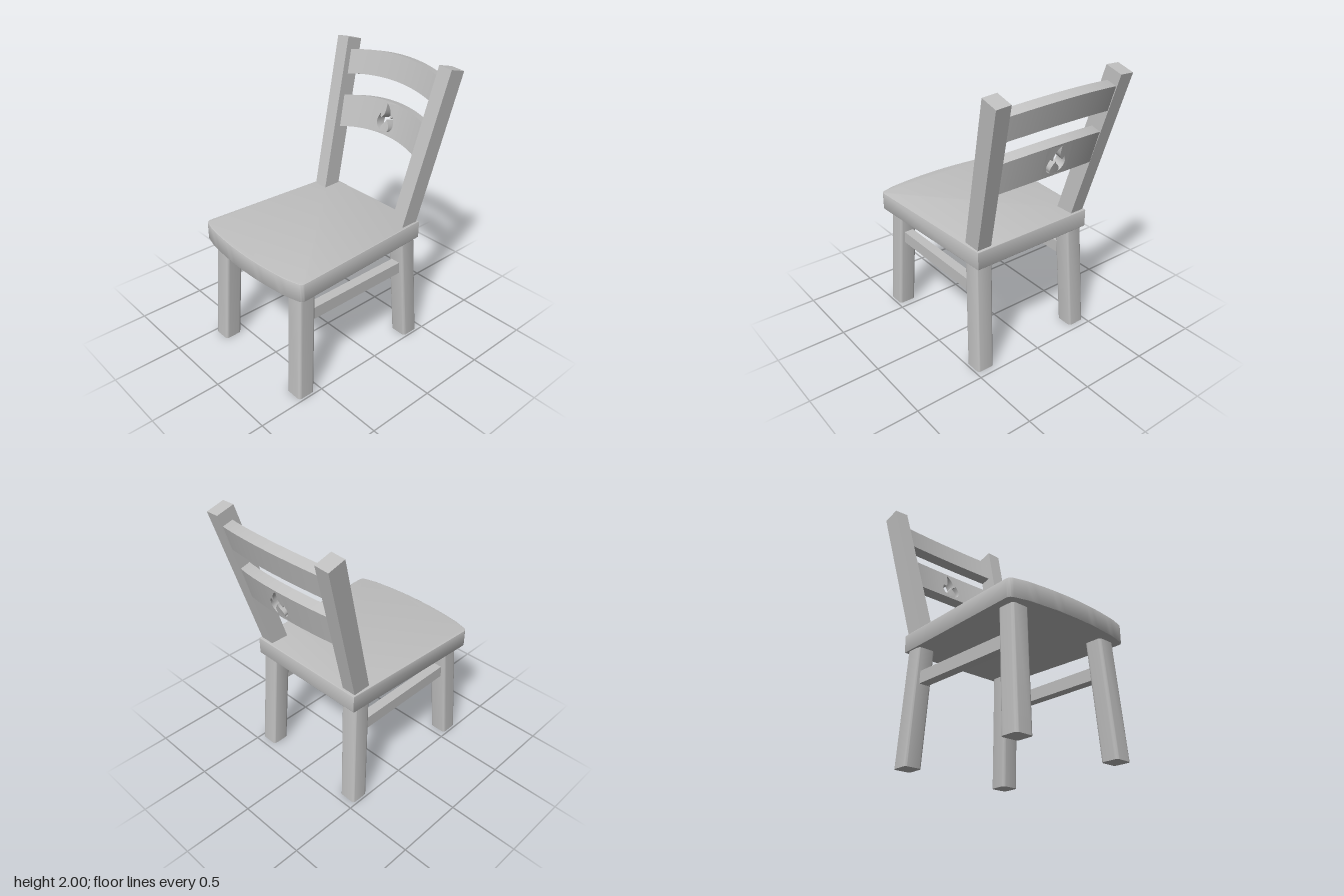
import * as THREE from 'three';
import { toCreasedNormals } from 'three/addons/utils/BufferGeometryUtils.js';

const LEAN = 0.264; // backward lean of the backrest

export function createModel() {
  const chair = new THREE.Group();
  chair.name = 'chair';
  const wood = new THREE.MeshStandardMaterial({ color: 0xc0c0c0 });
  wood.name = 'plain grey wood';

  const add = (name, geometry, parent = chair) => {
    const mesh = new THREE.Mesh(geometry, wood);
    mesh.name = name;
    parent.add(mesh);
    return mesh;
  };

  // Move every vertex by a rule, then rebuild normals with sharp edges
  const reshape = (geometry, rule) => {
    const p = geometry.attributes.position;
    const v = new THREE.Vector3();
    for (let i = 0; i < p.count; i++) {
      rule(v.fromBufferAttribute(p, i));
      p.setXYZ(i, v.x, v.y, v.z);
    }
    return toCreasedNormals(geometry, 0.5);
  };

  // Seat: tapered plan with a bowed front edge, shape y = -z
  const seat = new THREE.Shape();
  seat.moveTo(-0.455, 0.425);
  seat.lineTo(-0.507, -0.63);
  seat.quadraticCurveTo(-0.507, -0.658, -0.48, -0.666);
  seat.lineTo(-0.4, -0.688);
  seat.quadraticCurveTo(-0.2, -0.72, 0, -0.72);
  seat.quadraticCurveTo(0.2, -0.72, 0.4, -0.688);
  seat.lineTo(0.48, -0.666);
  seat.quadraticCurveTo(0.507, -0.658, 0.507, -0.63);
  seat.lineTo(0.455, 0.425);
  const seatGeo = new THREE.ExtrudeGeometry(seat, {
    depth: 0.118, bevelEnabled: true, bevelSize: 0.006, bevelThickness: 0.006, bevelSegments: 2, curveSegments: 8,
  });
  seatGeo.rotateX(-Math.PI / 2).translate(0, 0.806, 0);
  add('seat', toCreasedNormals(seatGeo, 0.5));

  // Legs: rounded square bars sheared outwards towards the floor
  const legShape = new THREE.Shape();
  const h = 0.065, r = 0.022;
  legShape.moveTo(-h + r, -h);
  legShape.lineTo(h - r, -h).absarc(h - r, -h + r, r, -Math.PI / 2, 0);
  legShape.lineTo(h, h - r).absarc(h - r, h - r, r, 0, Math.PI / 2);
  legShape.lineTo(-h + r, h).absarc(-h + r, h - r, r, Math.PI / 2, Math.PI);
  legShape.lineTo(-h, -h + r).absarc(-h + r, -h + r, r, Math.PI, Math.PI * 1.5);
  const leg = (name, side, zFloor, zTop) => {
    const g = new THREE.ExtrudeGeometry(legShape, { depth: 0.81, bevelEnabled: false, curveSegments: 4 });
    g.rotateX(-Math.PI / 2);
    add(name, reshape(g, (v) => {
      const t = v.y / 0.81;
      v.x += side * THREE.MathUtils.lerp(0.419, 0.388, t);
      v.z += THREE.MathUtils.lerp(zFloor, zTop, t);
    }));
  };

  for (const [label, side] of [['left', 1], ['right', -1]]) {
    leg(label + 'FrontLeg', side, 0.615, 0.565);
    leg(label + 'BackLeg', side, -0.387, -0.338);

    // Side stretcher between the front and back legs
    add(label + 'Stretcher', new THREE.BoxGeometry(0.07, 0.087, 0.84)).position.set(side * 0.395, 0.592, 0.11);

    // Backrest post, leaning back and outwards, bottom sunk in the seat
    const postGeo = new THREE.BoxGeometry(0.105, 1.14, 0.13).translate(0, -0.57, 0);
    const post = add(label + 'Post', postGeo);
    post.position.set(side * 0.472, 1.98, -0.628);
    post.rotation.set(-LEAN, 0, -side * 0.07);
  }

  // Slats curve backwards and arch upwards towards the middle
  const bend = (halfWidth) => (v) => {
    const k = (v.x / halfWidth) ** 2;
    v.y -= 0.055 * k;
    v.z += 0.05 * k;
  };
  const slat = (name, y, z) => {
    const group = new THREE.Group();
    group.name = name;
    group.position.set(0, y, z);
    group.rotation.x = -LEAN;
    chair.add(group);
    return group;
  };

  const upper = slat('upperSlat', 1.853, -0.664);
  add('upperSlatBoard', reshape(new THREE.BoxGeometry(0.9, 0.175, 0.077, 28, 1, 1), bend(0.42)), upper);

  // Lower slat: two bent sides around a middle panel with a flame cut-out
  const lower = slat('lowerSlat', 1.511, -0.579);
  const H = 0.235, T = 0.075, M = 0.1, END = 0.42;
  for (const [label, side] of [['left', 1], ['right', -1]]) {
    const g = new THREE.BoxGeometry(END - M, H, T, 12, 1, 1).translate(side * (END + M) / 2, 0, 0);
    add(label + 'LowerSlatSide', reshape(g, bend(0.38)), lower);
  }

  const panel = new THREE.Shape();
  panel.moveTo(-M, -H / 2);
  for (let i = 1; i <= 8; i++) panel.lineTo(-M + (i * M) / 4, -H / 2);
  for (let i = 8; i >= 0; i--) panel.lineTo(-M + (i * M) / 4, H / 2);
  const flame = new THREE.Path();
  flame.moveTo(-0.03, -0.092);
  flame.bezierCurveTo(-0.075, -0.075, -0.09, -0.03, -0.054, 0.024);
  flame.quadraticCurveTo(-0.056, -0.005, -0.04, -0.006);
  flame.bezierCurveTo(-0.01, 0.025, -0.015, 0.06, -0.014, 0.102);
  flame.bezierCurveTo(0.02, 0.08, 0.042, 0.04, 0.034, 0.002);
  flame.quadraticCurveTo(0.05, 0.006, 0.056, 0.024);
  flame.bezierCurveTo(0.088, -0.02, 0.085, -0.075, 0.034, -0.092);
  flame.bezierCurveTo(0.052, -0.06, 0.026, -0.035, 0.008, -0.008);
  flame.bezierCurveTo(0.004, -0.04, -0.05, -0.055, -0.03, -0.092);
  panel.holes.push(flame);
  const panelGeo = new THREE.ExtrudeGeometry(panel, { depth: T, bevelEnabled: false, curveSegments: 8 });
  panelGeo.translate(0, 0, -T / 2);
  add('flamePanel', reshape(panelGeo, bend(0.38)), lower);

  return chair;
}
